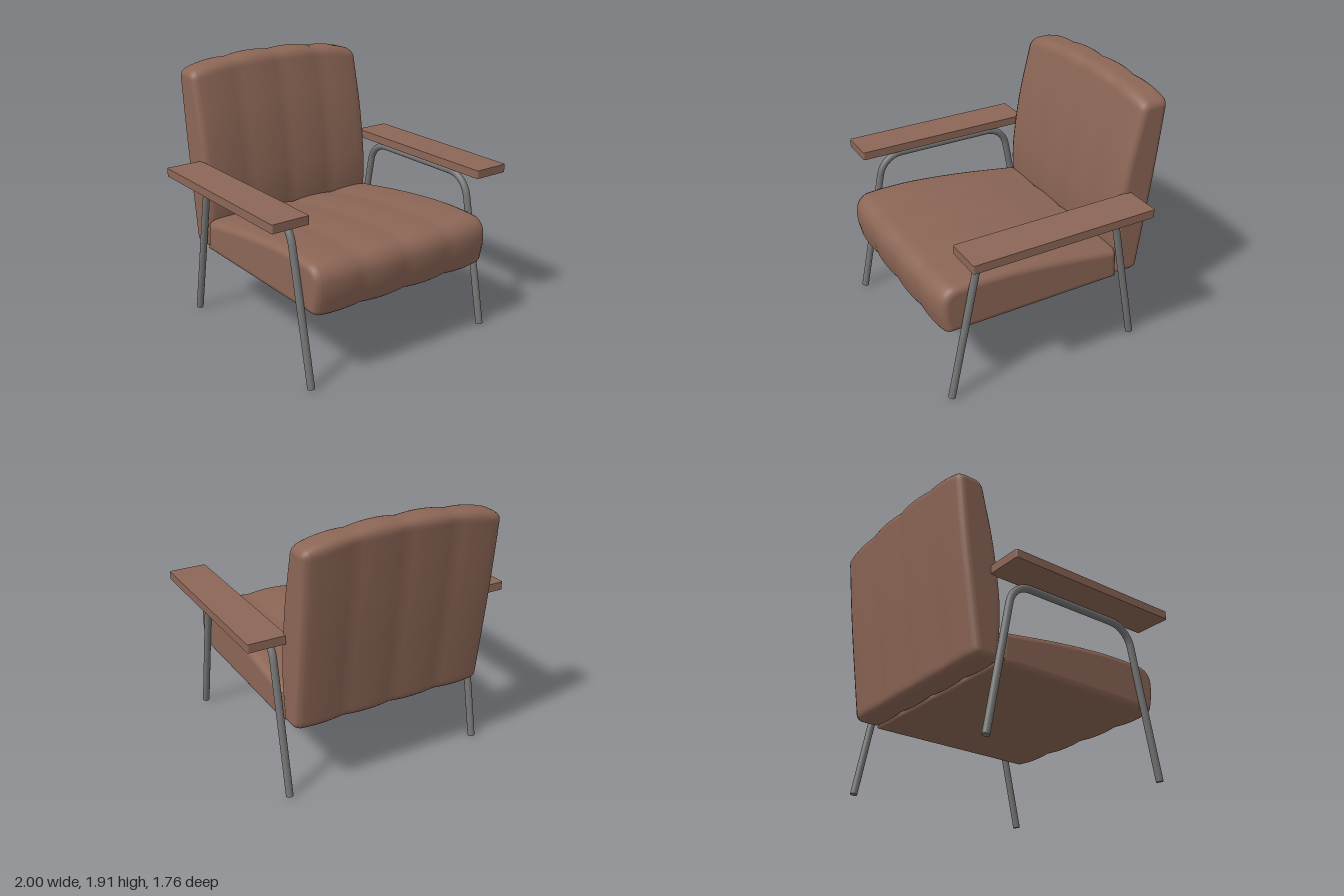
import * as THREE from 'three';

const leather = new THREE.MeshStandardMaterial({ color: 0x8c6656 });
leather.name = 'brown';
const steel = new THREE.MeshStandardMaterial({ color: 0x747474 });
steel.name = 'grey metal';

// Path in the z/y plane with rounded corners; points are [z, y, tangent length]
function roundedPath(points, closed) {
  const path = new THREE.CurvePath();
  const n = points.length;
  const at = i => new THREE.Vector3(0, points[(i + n) % n][1], points[(i + n) % n][0]);
  const toward = (a, b, d) => a.clone().add(b.clone().sub(a).setLength(d));
  let first = null, last = null;
  for (let i = 0; i < n; i++) {
    const p = at(i), t = points[i][2];
    const isEnd = !closed && (i === 0 || i === n - 1);
    const start = isEnd ? p : toward(p, at(i - 1), t);
    const end = isEnd ? p : toward(p, at(i + 1), t);
    if (last) path.add(new THREE.LineCurve3(last, start));
    else first = start;
    if (!isEnd) {
      path.add(new THREE.CubicBezierCurve3(start, start.clone().lerp(p, 0.58), end.clone().lerp(p, 0.58), end));
    }
    last = end;
  }
  if (closed) path.add(new THREE.LineCurve3(last, first));
  return path;
}

// Upholstered cushion: a side profile swept across x, with four puffed channels and rounded ends
function cushion(name, profile, halfWidth, radius, bend) {
  const ring = roundedPath(profile, true).getSpacedPoints(160).slice(0, -1);
  const m = ring.length;
  const normals = ring.map((p, j) => {
    const t = ring[(j + 1) % m].clone().sub(ring[(j + m - 1) % m]);
    return new THREE.Vector3(1, 0, 0).cross(t).normalize();
  });

  const half = [];
  for (let k = 1; k < 16; k++) half.push(halfWidth * k / 16);
  for (let k = 1; k <= 7; k++) half.push(halfWidth - radius + radius * Math.sin(k / 7 * Math.PI / 2));
  const xs = [...half.map(x => -x).reverse(), 0, ...half];

  const pos = [], index = [];
  const place = (x, j) => {
    const e = Math.max(0, Math.abs(x) - (halfWidth - radius));
    const u = (Math.abs(x) / halfWidth * 2) % 1 * 2 - 1;
    const inset = radius - Math.sqrt(Math.max(0, radius * radius - e * e)) + (e > 0 ? 0.012 : 0.012 * u * u);
    const p = ring[j].clone().addScaledVector(normals[j], -inset);
    p.x = x;
    bend(p, Math.abs(x) / halfWidth);
    return p;
  };
  xs.forEach((x, i) => {
    for (let j = 0; j < m; j++) {
      pos.push(...place(x, j).toArray());
      if (i === xs.length - 1) continue;
      const a = i * m + j, b = i * m + (j + 1) % m;
      index.push(a, a + m, b, b, a + m, b + m);
    }
  });
  // Flat side faces
  for (const side of [-1, 1]) {
    const base = pos.length / 3, centre = new THREE.Vector3();
    for (let j = 0; j < m; j++) {
      const p = place(side * halfWidth, j);
      pos.push(...p.toArray());
      centre.addScaledVector(p, 1 / m);
    }
    pos.push(...centre.toArray());
    for (let j = 0; j < m; j++) {
      const a = base + j, b = base + (j + 1) % m;
      if (side > 0) index.push(base + m, b, a);
      else index.push(base + m, a, b);
    }
  }
  const geometry = new THREE.BufferGeometry();
  geometry.setAttribute('position', new THREE.Float32BufferAttribute(pos, 3));
  geometry.setIndex(index);
  geometry.computeVertexNormals();
  const mesh = new THREE.Mesh(geometry, leather);
  mesh.name = name;
  return mesh;
}

// Bent tube forming the front leg, arm support and rear leg of one side
function legFrame(x) {
  const group = new THREE.Group();
  group.name = x > 0 ? 'leftLegFrame' : 'rightLegFrame';
  const path = roundedPath([[0.815, 0.006, 0], [0.587, 1.103, 0.15], [-0.452, 1.103, 0.15], [-0.668, 0.006, 0]], false);
  const tube = new THREE.Mesh(new THREE.TubeGeometry(path, 120, 0.026, 20, false), steel);
  tube.name = 'legTube';
  group.add(tube);
  for (const end of [0, 1]) {
    const cap = new THREE.Mesh(new THREE.CircleGeometry(0.026, 20), steel);
    const out = path.getTangentAt(end).multiplyScalar(end ? 1 : -1);
    cap.position.copy(path.getPointAt(end));
    cap.quaternion.setFromUnitVectors(new THREE.Vector3(0, 0, 1), out);
    cap.name = 'footCap';
    group.add(cap);
  }
  group.position.x = x;
  return group;
}

// Flat armrest board with slightly rounded corners in plan
function armrest(side) {
  const w = 0.1375, d = 0.6825, r = 0.012;
  const s = new THREE.Shape();
  s.moveTo(-w + r, -d);
  s.lineTo(w - r, -d).quadraticCurveTo(w, -d, w, -d + r);
  s.lineTo(w, d - r).quadraticCurveTo(w, d, w - r, d);
  s.lineTo(-w + r, d).quadraticCurveTo(-w, d, -w, d - r);
  s.lineTo(-w, -d + r).quadraticCurveTo(-w, -d, -w + r, -d);
  const geometry = new THREE.ExtrudeGeometry(s, { depth: 0.06, bevelEnabled: false, curveSegments: 4 });
  geometry.rotateX(-Math.PI / 2);
  const mesh = new THREE.Mesh(geometry, leather);
  mesh.position.set(side * 0.8625, 1.128, 0.0725);
  mesh.name = side > 0 ? 'leftArmrest' : 'rightArmrest';
  return mesh;
}

export function createModel() {
  const chair = new THREE.Group();
  chair.name = 'armchair';

  // Seat, its front edge bowed in plan
  chair.add(cushion('seatCushion', [
    [0.845, 0.505, 0.04], [0.885, 0.68, 0.06], [0.87, 0.865, 0.115], [0.5, 0.885, 0.2],
    [0, 0.84, 0.2], [-0.53, 0.757, 0.03], [-0.55, 0.505, 0.03],
  ], 0.745, 0.045, (p, t) => { p.z -= 0.025 * t ** 3 * Math.max(0, p.z); }));

  // Backrest, its top edge crowned
  chair.add(cushion('backCushion', [
    [-0.53, 0.52, 0.04], [-0.495, 0.9, 0.15], [-0.535, 1.3, 0.18], [-0.58, 1.54, 0.05],
    [-0.665, 1.91, 0.07], [-0.885, 1.91, 0.07], [-0.83, 1.33, 0.25], [-0.725, 0.52, 0.06],
  ], 0.735, 0.045, (p, t) => { p.y -= 0.075 * t ** 2.5 * Math.max(0, (p.y - 0.52) / 1.39); }));

  for (const side of [-1, 1]) {
    chair.add(armrest(side), legFrame(side * 0.765));
  }
  return chair;
}
